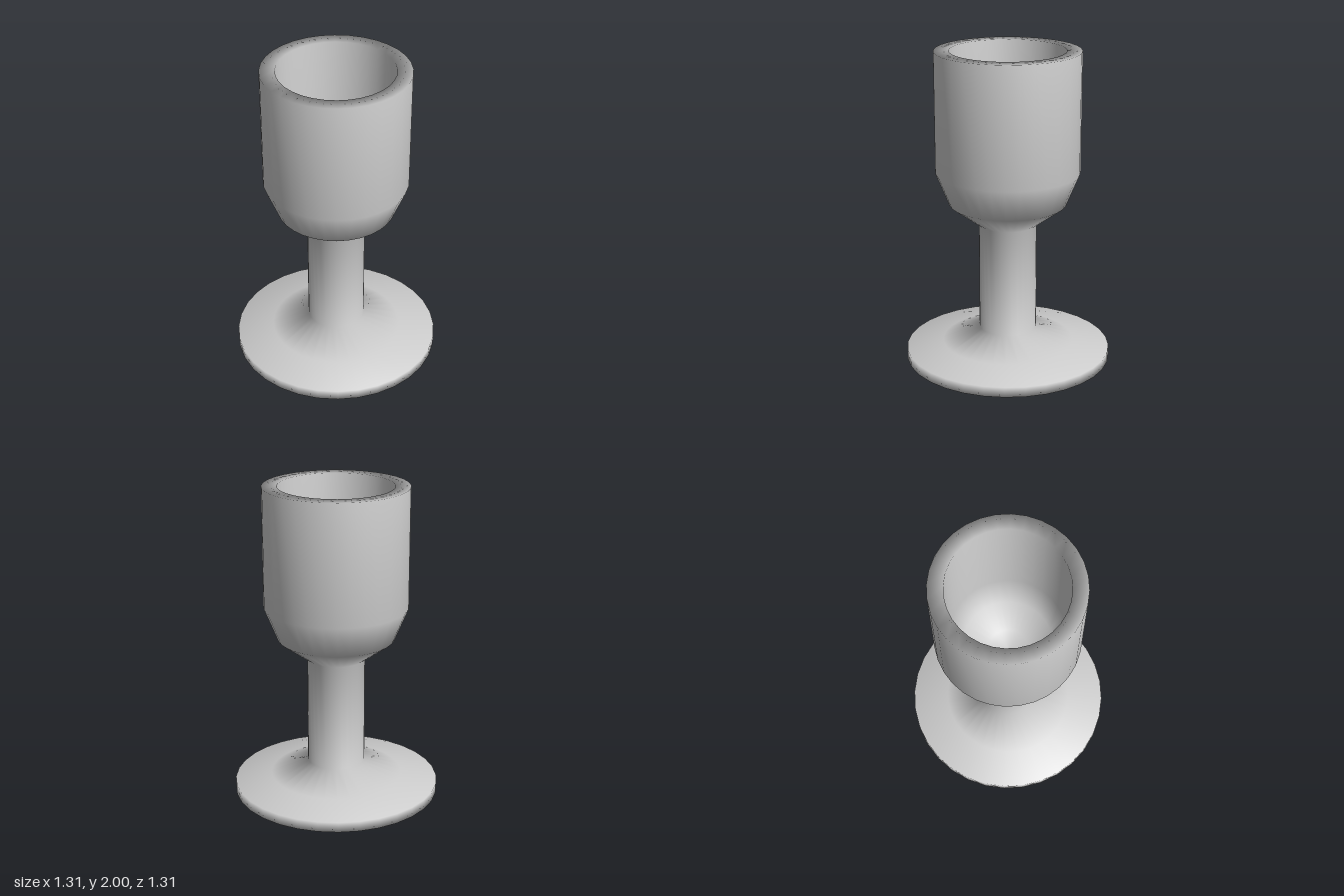
import * as THREE from 'three';

export function createModel() {
  const group = new THREE.Group();
  group.name = 'goblet';

  // One continuous turned profile [radius, height], from underside to inner floor
  const foot = [[0, 0], [0.655, 0], [0.655, 0.065], [0.42, 0.105]];
  const stem = [[0.183, 0.195], [0.183, 0.893]];
  const bowlOutside = [[0.37, 1.03], [0.455, 1.24], [0.455, 2]];
  const bowlInside = [[0.36, 2], [0.36, 1.26], [0.28, 1.1], [0.13, 1.0], [0, 0.99]];

  const profile = [...foot, ...stem, ...bowlOutside, ...bowlInside]
    .map(([r, y]) => new THREE.Vector2(r, y));

  // Smooth-shaded 32-sided turning keeps foot, stem and bowl seamless
  const body = new THREE.Mesh(
    new THREE.LatheGeometry(profile, 32),
    new THREE.MeshStandardMaterial({ color: 0xcccccc })
  );
  body.name = 'footStemAndBowl';
  group.add(body);

  return group;
}
